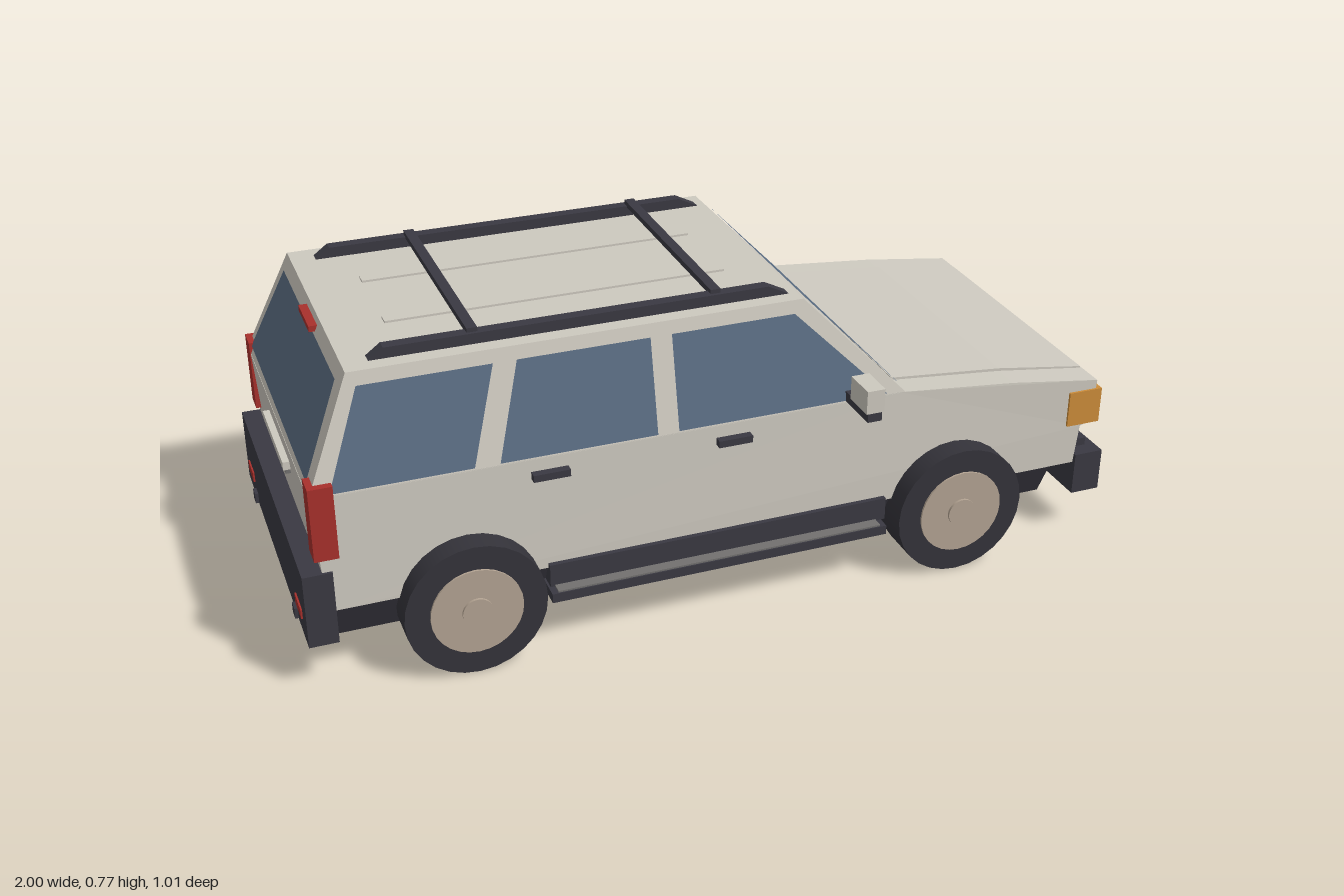
import * as THREE from 'three';

const mat = (name, color) => {
  const m = new THREE.MeshStandardMaterial({ color });
  m.name = name;
  return m;
};

export function createModel() {
  const car = new THREE.Group();
  car.name = 'estateCar';
  const paint = mat('paint', 0xcdc9bf), glass = mat('glass', 0x5a6c82);
  const trim = mat('darkTrim', 0x3a3942), grey = mat('grey', 0x72706f);
  const amber = mat('amber', 0xcc8c3a), red = mat('red', 0xa8302c);
  const hubTone = mat('wheelHub', 0xb3a392), rubber = mat('rubber', 0x34333a);

  const add = (name, geometry, material) => {
    const mesh = new THREE.Mesh(geometry, material);
    mesh.name = name;
    car.add(mesh);
    return mesh;
  };
  // Box given by its limits on each axis
  const box = (name, m, x0, x1, y0, y1, z0, z1) => {
    const g = new THREE.BoxGeometry(x1 - x0, y1 - y0, Math.abs(z1 - z0));
    return add(name, g.translate((x0 + x1) / 2, (y0 + y1) / 2, (z0 + z1) / 2), m);
  };
  const pair = (name, m, x0, x1, y0, y1, z0, z1) => {
    box(name + 'Left', m, x0, x1, y0, y1, -z1, -z0);
    box(name + 'Right', m, x0, x1, y0, y1, z0, z1);
  };
  // Box whose lower and upper rectangles differ: [x0, x1, halfWidth]
  const frustum = (name, m, y0, y1, low, high) => {
    const g = new THREE.BoxGeometry(1, 1, 1), p = g.attributes.position;
    for (let i = 0; i < p.count; i++) {
      const r = p.getY(i) > 0 ? high : low;
      p.setXYZ(i, p.getX(i) > 0 ? r[1] : r[0], p.getY(i) > 0 ? y1 : y0, Math.sign(p.getZ(i)) * r[2]);
    }
    g.computeVertexNormals();
    return add(name, g, m);
  };
  // Side profile extruded across the car
  const slab = (name, m, pts, z0, z1) => {
    const s = new THREE.Shape(pts.map(([x, y]) => new THREE.Vector2(x, y)));
    const g = new THREE.ExtrudeGeometry(s, { depth: z1 - z0, bevelEnabled: false });
    return add(name, g.translate(0, 0, z0), m);
  };
  // Four-cornered plate, lifted slightly along its normal
  const plate = (name, m, corners, lift = 0.004) => {
    const v = corners.map((c) => new THREE.Vector3(...c));
    const n = v[1].clone().sub(v[0]).cross(v[2].clone().sub(v[0])).normalize();
    v.forEach((q) => q.addScaledVector(n, lift));
    const g = new THREE.BufferGeometry().setFromPoints(v);
    g.setIndex([0, 1, 2, 0, 2, 3]);
    g.computeVertexNormals();
    return add(name, g, m);
  };

  // Lower body, drawn in slightly towards the beltline
  const body = slab('body', paint, [[-0.94, 0.2], [0.91, 0.2], [0.92, 0.3], [0.95, 0.31], [0.955, 0.42],
    [0.72, 0.453], [0.42, 0.482], [-0.96, 0.482]], -0.396, 0.396);
  const bp = body.geometry.attributes.position;
  for (let i = 0; i < bp.count; i++) {
    bp.setZ(i, bp.getZ(i) * (1 - Math.max(0, bp.getY(i) - 0.42) * 0.25));
  }
  body.geometry.computeVertexNormals();
  slab('bonnetPanel', paint, [[0.43, 0.46], [0.95, 0.4], [0.95, 0.425], [0.72, 0.46], [0.43, 0.487]], -0.325, 0.325);
  frustum('underbody', trim, 0.105, 0.205, [-0.93, 0.85, 0.345], [-0.93, 0.85, 0.392]);

  // Cabin
  const Y0 = 0.48, Y1 = 0.735;
  frustum('cabin', paint, Y0, Y1, [-0.96, 0.435, 0.39], [-0.85, 0.19, 0.335]);
  const at = (y, a, b) => a + (b - a) * (y - Y0) / (Y1 - Y0);

  // Side windows: bottom rear, bottom front, top front, top rear
  const lo = 0.486, hi = 0.705;
  [['rearQuarter', -0.915, -0.6, -0.537, -0.832], ['rearDoor', -0.543, -0.18, -0.18, -0.484],
    ['frontDoor', -0.13, 0.385, 0.165, -0.13]].forEach(([name, a, b, c, d]) => {
    const pts = [[a, lo], [b, lo], [c, hi], [d, hi]].map(([x, y]) => [x, y, at(y, 0.39, 0.335)]);
    plate(name + 'WindowRight', glass, pts);
    plate(name + 'WindowLeft', glass, pts.map(([x, y, z]) => [x, y, -z]).reverse());
  });
  // Windscreen and tailgate glass
  const fx = (y) => at(y, 0.435, 0.19), rx = (y) => at(y, -0.96, -0.85);
  plate('windscreen', glass, [[fx(lo), lo, 0.378], [fx(lo), lo, -0.378], [fx(0.708), 0.708, -0.302], [fx(0.708), 0.708, 0.302]]);
  plate('rearWindow', glass, [[rx(0.5), 0.5, -0.35], [rx(0.5), 0.5, 0.35], [rx(0.705), 0.705, 0.3], [rx(0.705), 0.705, -0.3]]);
  box('highBrakeLight', red, -0.875, -0.85, 0.708, 0.722, -0.06, 0.06);
  box('tailgateHandle', paint, -0.972, -0.95, 0.415, 0.435, -0.13, 0.13);
  box('tailgateRecess', grey, -0.966, -0.95, 0.4, 0.415, -0.12, 0.12);

  // Roof rack and ribs
  for (const [side, z] of [['Left', -0.298], ['Right', 0.27]]) {
    slab('roofRail' + side, trim, [[-0.8, 0.73], [0.18, 0.73], [0.12, 0.76], [-0.76, 0.76]], z, z + 0.028);
  }
  for (const x of [-0.565, -0.005]) box('rackCrossbar', trim, x - 0.012, x + 0.012, 0.756, 0.77, -0.29, 0.29);
  pair('roofRib', paint, -0.72, 0.08, 0.733, 0.74, 0.1, 0.13);

  // Sills, steps and handles
  pair('sill', trim, -0.445, 0.39, 0.155, 0.212, 0.37, 0.408);
  pair('step', trim, -0.45, 0.38, 0.132, 0.155, 0.34, 0.438);
  pair('stepTread', grey, -0.435, 0.365, 0.155, 0.159, 0.4, 0.435);
  pair('rearDoorHandle', trim, -0.475, -0.39, 0.434, 0.451, 0.38, 0.41);
  pair('frontDoorHandle', trim, -0.04, 0.042, 0.434, 0.451, 0.38, 0.41);

  // Mirrors
  pair('mirrorArm', trim, 0.28, 0.315, 0.486, 0.51, 0.375, 0.505);
  pair('mirrorHousing', paint, 0.276, 0.32, 0.508, 0.565, 0.422, 0.506);

  // Nose: grille, headlights and indicators
  box('grille', trim, 0.93, 0.974, 0.297, 0.4, -0.22, 0.22);
  for (const y of [0.315, 0.347, 0.378]) box('grilleSlat', trim, 0.96, 0.983, y - 0.011, y + 0.011, -0.212, 0.212);
  pair('headlight', paint, 0.93, 0.966, 0.307, 0.397, 0.222, 0.324);
  pair('indicator', amber, 0.88, 0.968, 0.307, 0.398, 0.324, 0.401);

  // Front bumper
  box('frontBumper', trim, 0.915, 0.99, 0.112, 0.22, -0.4, 0.4);
  box('frontApron', trim, 0.9, 0.994, 0.105, 0.165, -0.235, 0.235);
  box('numberPlate', trim, 0.98, 1, 0.115, 0.16, -0.072, 0.072);
  pair('fogLight', grey, 0.98, 0.997, 0.12, 0.158, 0.075, 0.19);
  pair('bumperPod', trim, 0.91, 0.965, 0.215, 0.24, 0.255, 0.36);
  pair('washer', paint, 0.95, 0.97, 0.215, 0.228, 0.29, 0.325);

  // Rear bumper and lamps
  box('rearBumper', trim, -0.992, -0.925, 0.12, 0.3, -0.4, 0.4);
  pair('tailLight', red, -0.962, -0.908, 0.333, 0.51, 0.345, 0.401);
  pair('rearReflector', red, -0.996, -0.98, 0.165, 0.19, 0.28, 0.35);
  pair('towEye', trim, -1, -0.97, 0.122, 0.148, 0.25, 0.28);

  // Wheels
  for (const x of [-0.627, 0.57]) {
    for (const s of [-1, 1]) {
      const disc = (name, m, r, z0, z1) => {
        const g = new THREE.CylinderGeometry(r, r, z1 - z0, 28).rotateX(Math.PI / 2);
        add(name, g.translate(x, 0.163, s * (z0 + z1) / 2), m);
      };
      disc('tyre', rubber, 0.163, 0.346, 0.45);
      disc('wheelHub', hubTone, 0.106, 0.44, 0.455);
      disc('hubCap', hubTone, 0.035, 0.45, 0.461);
    }
  }
  return car;
}
